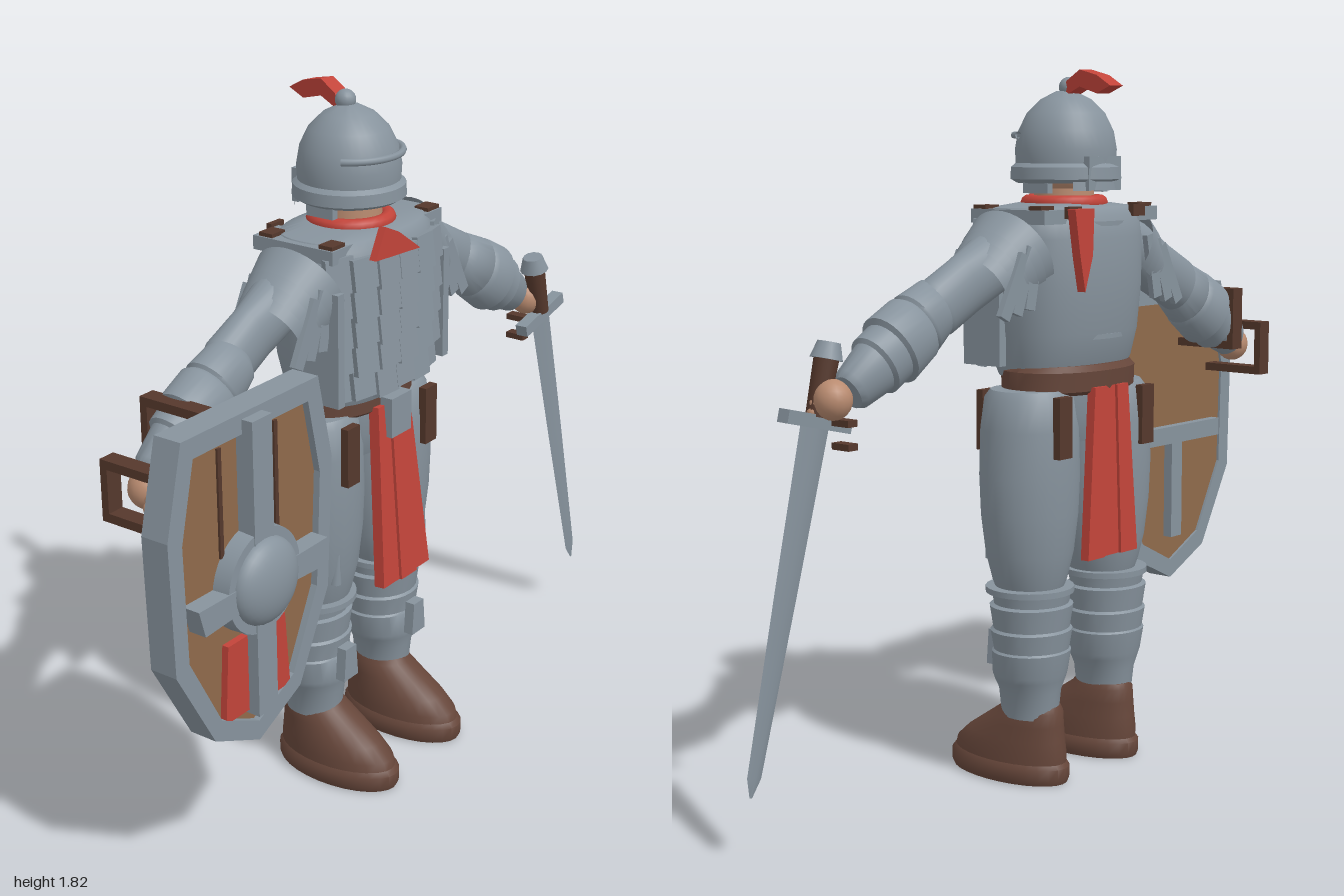
import * as THREE from 'three';
import { toCreasedNormals } from 'three/addons/utils/BufferGeometryUtils.js';

const mat = (name, color) => {
  const m = new THREE.MeshStandardMaterial({ color, side: THREE.DoubleSide });
  m.name = name;
  return m;
};

// Closed skin over superellipse sections [y, rx, rz, cz], stacked along y
function loft(sections, n = 28, power = 2) {
  const pos = [], idx = [];
  const bend = v => Math.sign(v) * Math.abs(v) ** (2 / power);
  for (const [y, rx, rz, cz = 0] of sections)
    for (let i = 0; i < n; i++) {
      const a = i / n * Math.PI * 2;
      pos.push(rx * bend(Math.sin(a)), y, cz + rz * bend(Math.cos(a)));
    }
  const rows = sections.length;
  for (let r = 0; r < rows - 1; r++)
    for (let i = 0; i < n; i++) {
      const j = (i + 1) % n, a = r * n + i, b = r * n + j;
      idx.push(a, b, b + n, a, b + n, a + n);
    }
  const first = sections[0], last = sections[rows - 1];
  pos.push(0, first[0], first[3] || 0, 0, last[0], last[3] || 0);
  for (let i = 0; i < n; i++) {
    const j = (i + 1) % n, top = (rows - 1) * n;
    idx.push(rows * n, j, i, rows * n + 1, top + i, top + j);
  }
  const g = new THREE.BufferGeometry();
  g.setAttribute('position', new THREE.Float32BufferAttribute(pos, 3));
  g.setIndex(idx);
  return toCreasedNormals(g, 0.75);
}

const extrude = (pts, depth, holes = []) => {
  const s = new THREE.Shape(pts.map(p => new THREE.Vector2(...p)));
  for (const h of holes) s.holes.push(new THREE.Path(h.map(p => new THREE.Vector2(...p))));
  return new THREE.ExtrudeGeometry(s, { depth, bevelEnabled: false });
};
const box = (w, h, d) => new THREE.BoxGeometry(w, h, d);

export function createModel() {
  const root = new THREE.Group();
  const steel = mat('steel', 0x87939d), red = mat('red cloth', 0xc2443a), leather = mat('leather', 0x66463a);
  const strap = mat('dark strap', 0x55382c), wood = mat('shield wood', 0x8f6a4b), skin = mat('skin', 0xb98b70);
  const CX = -0.07;
  const add = (name, geo, m, x = 0, y = 0, z = 0, parent = root) => {
    const mesh = new THREE.Mesh(geo, m);
    mesh.name = name;
    mesh.position.set(x, y, z);
    parent.add(mesh);
    return mesh;
  };

  // Head and helmet
  add('neck', new THREE.CylinderGeometry(0.075, 0.08, 0.12, 24), skin, CX, 1.5, -0.03);
  add('head', new THREE.SphereGeometry(0.1, 24, 16), skin, CX, 1.585, -0.03);
  const helmet = new THREE.Group();
  helmet.name = 'helmet';
  helmet.position.set(CX, 0, -0.035);
  root.add(helmet);
  const dome = [[0.125, 1.535], [0.142, 1.545], [0.14, 1.575], [0.128, 1.585], [0.13, 1.62], [0.122, 1.665],
    [0.1, 1.71], [0.065, 1.745], [0.025, 1.765], [0, 1.767]].map(p => new THREE.Vector2(...p));
  add('helmetDome', toCreasedNormals(new THREE.LatheGeometry(dome, 36), 0.6), steel, 0, 0, 0, helmet);
  const brow = add('browBar', new THREE.TorusGeometry(0.13, 0.009, 8, 28, 2.2), steel, 0, 1.655, 0.002, helmet);
  brow.rotation.set(Math.PI / 2, 0, 0.47);
  add('neckGuard', new THREE.CylinderGeometry(0.125, 0.135, 0.085, 20, 1, true, Math.PI - 0.75, 1.5), steel, 0, 1.56, 0, helmet);
  add('neckPlate', box(0.13, 0.085, 0.02), steel, 0, 1.56, -0.118, helmet);
  for (const s of [-1, 1]) add('cheekPlate', box(0.02, 0.05, 0.08), steel, s * 0.112, 1.535, 0, helmet);
  add('crestKnob', new THREE.SphereGeometry(0.026, 16, 12), steel, 0, 1.775, -0.01, helmet);
  const plume = add('plume', extrude([[0, 1.765], [0.015, 1.79], [0.07, 1.817], [0.14, 1.802], [0.195, 1.775],
    [0.14, 1.757], [0.07, 1.775], [0.02, 1.757]], 0.04), red, -0.02, 0, -0.015, helmet);
  plume.rotation.y = 1.32;

  // Cuirass
  const torsoZ = -0.025;
  add('torso', loft([[1.05, 0.19, 0.12], [1.09, 0.2, 0.14], [1.16, 0.215, 0.155], [1.28, 0.225, 0.165],
    [1.4, 0.228, 0.162], [1.455, 0.226, 0.15], [1.475, 0.21, 0.135], [1.485, 0.12, 0.1]], 40, 2.5), steel, CX, 0, torsoZ);
  add('collar', new THREE.TorusGeometry(0.092, 0.02, 10, 28), red, CX, 1.485, -0.03).rotation.x = Math.PI / 2;
  // Overlapping rows of small plates across the chest
  for (let r = 0; r < 5; r++) {
    const y = 1.405 - r * 0.071, half = 0.222 - r * 0.004;
    for (let c = -3; c <= 3; c++) {
      const a = c * 0.32, k = Math.sin(a) / Math.sin(0.96);
      const z = 0.15 - 0.055 * Math.abs(k) ** 3 - (r === 4 ? 0.01 : 0);
      const p = add('chestPlate', box(0.076, 0.078 + 0.012 * ((c + r + 8) % 2), 0.022), steel, CX + k * half * 0.9, y, z - 0.014);
      p.rotation.set(-0.12, 0.45 * k * Math.abs(k), 0);
    }
    add('chestRib', new THREE.CylinderGeometry(1, 1, 0.012, 24, 1, false), steel, CX, y + 0.03, torsoZ)
      .scale.set(half * 0.93, 1, 0.158);
  }
  for (const s of [-1, 1]) {
    add('sidePlate', box(0.025, 0.29, 0.12), steel, CX + s * 0.225, 1.225, 0.045);
    add('shoulderYoke', box(0.1, 0.035, 0.24), steel, CX + s * 0.18, 1.455, -0.035);
    for (const z of [0.06, -0.12]) add('shoulderClasp', box(0.05, 0.02, 0.04), strap, CX + s * 0.2, 1.472, z);
    add('backClasp', box(0.05, 0.03, 0.015), strap, CX + s * 0.13, 1.465, -0.165);
  }
  // Scarf ends
  const scarf = add('scarfFront', extrude([[-0.215, 1.44], [-0.175, 1.515], [-0.12, 1.49], [-0.03, 1.428]], 0.02), red, 0, 0, 0.13);
  scarf.name = 'scarfFront';
  add('scarfBack', extrude([[0.02, 1.475], [0.095, 1.475], [0.075, 1.36], [0.055, 1.27], [0.025, 1.36]], 0.025), red, 0, 0, -0.2);

  // Belt, hanging cloths and straps
  add('hips', loft([[0.88, 0.13, 0.09], [0.95, 0.19, 0.115], [1.06, 0.185, 0.115]], 32, 2.3), steel, CX, 0, -0.04);
  add('belt', loft([[1.005, 0.19, 0.122], [1.015, 0.204, 0.135], [1.065, 0.204, 0.138], [1.08, 0.19, 0.125]], 36, 2.2), leather, CX, 0, -0.045);
  add('buckle', box(0.085, 0.105, 0.035), steel, CX, 0.995, 0.108);
  const cloth = (name, z, tilt, len, depth) => {
    const g = new THREE.Group();
    g.name = name;
    g.position.set(CX, 1.025, z);
    g.rotation.x = tilt;
    root.add(g);
    for (let i = -1; i <= 1; i++)
      add('clothFold', extrude([[(i - 0.5) * 0.045, 0], [(i - 0.5) * 0.068, -len], [(i + 0.5) * 0.068, -len],
        [(i + 0.5) * 0.045, 0]], depth), red, 0, 0, i ? -0.008 : 0, g);
  };
  cloth('frontCloth', 0.08, -0.09, 0.48, 0.03);
  cloth('backCloth', -0.18, 0.015, 0.44, 0.025);
  for (const s of [-1, 1]) for (const z of [0.09, -0.165])
    add('hangingStrap', box(0.05, 0.155, 0.022), strap, CX + s * 0.17, 0.932, z);

  // Legs
  for (const s of [-1, 1]) {
    add('thigh', loft([[0.5, 0.085, 0.085], [0.53, 0.098, 0.095], [0.6, 0.118, 0.11], [0.7, 0.132, 0.12], [0.8, 0.136, 0.124],
      [0.92, 0.128, 0.124], [1.0, 0.115, 0.115], [1.02, 0.1, 0.1]]), steel, CX + s * 0.15, 0, -0.04);
    const fold = add('thighFold', new THREE.ConeGeometry(0.016, 0.11, 8), steel, CX + s * 0.19, 0.63, 0.062);
    fold.rotation.x = 0.12;
    add('kneeBand', new THREE.CylinderGeometry(0.114, 0.114, 0.015, 28), steel, CX + s * 0.155, 0.505, -0.045);
    add('greave', loft([[0.17, 0.066, 0.078, -0.045], [0.24, 0.074, 0.085, -0.045], [0.27, 0.092, 0.092, -0.045], [0.285, 0.098, 0.096, -0.045],
      [0.345, 0.106, 0.1, -0.05], [0.35, 0.1, 0.096, -0.05], [0.4, 0.11, 0.103, -0.05], [0.406, 0.102, 0.097, -0.05],
      [0.465, 0.112, 0.105, -0.05], [0.47, 0.1, 0.095, -0.05], [0.5, 0.105, 0.1, -0.05]]), steel, CX + s * 0.155, 0, 0);
    add('shinPlate', extrude([[-0.03, 0.29], [-0.022, 0.38], [0.022, 0.38], [0.03, 0.29]], 0.028), steel, CX + s * 0.155, 0, 0.05);
    add('boot', loft([[0.045, 0.09, 0.176, 0.03], [0.075, 0.089, 0.172, 0.025], [0.11, 0.084, 0.15, 0.008], [0.15, 0.075, 0.118, -0.02],
      [0.185, 0.068, 0.09, -0.045], [0.2, 0.06, 0.08, -0.047]]), leather, CX + s * 0.148, 0, 0);
    add('sole', loft([[0, 0.092, 0.18, 0.03], [0.012, 0.098, 0.185, 0.03], [0.042, 0.098, 0.185, 0.03], [0.055, 0.088, 0.174, 0.03]]),
      leather, CX + s * 0.148, 0, 0);
  }

  // Arms: each limb runs from a to b in the plane of the shoulders
  const limb = (name, s, a, b, z, rings, m = steel) => {
    const dx = s * (b[0] - a[0]), dy = b[1] - a[1], len = Math.hypot(dx, dy);
    const mesh = add(name, loft(rings.map(([t, rx, rz]) => [t * len, rx, rz])), m, CX + s * a[0], a[1], z);
    mesh.rotation.z = Math.atan2(-dx, dy);
  };
  for (const s of [-1, 1]) {
    limb('upperArm', s, [0.2, 1.39], [0.52, 1.23], -0.035,
      [[0, 0.06, 0.065], [0.2, 0.078, 0.07], [0.6, 0.076, 0.05], [0.9, 0.075, 0.055], [1, 0.06, 0.045]]);
    limb('forearm', s, [0.46, 1.265], [0.775, 1.07], -0.025,
      [[0, 0.05, 0.04], [0.06, 0.072, 0.06], [0.28, 0.085, 0.07], [0.3, 0.078, 0.066], [0.33, 0.088, 0.076], [0.56, 0.094, 0.078],
        [0.58, 0.08, 0.068], [0.72, 0.08, 0.066], [0.74, 0.07, 0.056], [0.96, 0.056, 0.045], [1, 0.045, 0.036]]);
    const hand = add('hand', new THREE.SphereGeometry(0.046, 18, 12), skin, CX + s * 0.805, 1.055, -0.005);
    hand.scale.set(1, 1.05, 1);
    for (let i = 0; i < 4; i++)
      add('finger', new THREE.SphereGeometry(0.017, 10, 8), skin, CX + s * (0.835 - i * 0.006), 1.025 + i * 0.022, 0.028);
    // Layered shoulder guard arching over the arm
    for (let i = 0; i < 4; i++) {
      const shell = add('shoulderBand', new THREE.CylinderGeometry(0.11 - i * 0.005, 0.125 - i * 0.005, 0.07, 24, 1, true, -2.0, 4.0),
        steel, CX + s * (0.235 + i * 0.024), 1.345 - i * 0.017, -0.03);
      shell.rotation.set(0, Math.PI / 2 * s, 0);
      shell.rotation.z = s * -(Math.PI / 2 + 0.65);
      shell.rotation.y = s > 0 ? 0 : Math.PI;
      shell.rotation.z = -(Math.PI / 2 + 0.5) + Math.PI;
      shell.geometry.rotateX(Math.PI);
      shell.geometry.rotateY(-Math.PI / 2);
    }
    // Loose strips hanging in front of and behind the arm
    for (const z of [0.07, -0.13]) for (let i = 0; i < 3; i++) {
      const strip = add('shoulderStrip', box(0.035, 0.17, 0.016), steel, CX + s * (0.245 + i * 0.036), 1.315 - i * 0.012, z);
      strip.rotation.z = s * (0.2 + i * 0.14);
    }
  }

  // Sword
  const sword = new THREE.Group();
  sword.name = 'sword';
  sword.position.set(0.758, 1.005, 0.03);
  sword.rotation.set(-0.025, 0, 0.234);
  root.add(sword);
  add('guard', box(0.205, 0.032, 0.035), steel, 0, 0, 0, sword);
  add('grip', new THREE.CylinderGeometry(0.03, 0.026, 0.14, 14), strap, 0, 0.08, 0, sword);
  add('pommel', new THREE.CylinderGeometry(0.028, 0.04, 0.04, 12), steel, 0, 0.165, 0, sword);
  add('blade', loft([[-0.875, 0.004, 0.002], [-0.83, 0.022, 0.005], [-0.4, 0.036, 0.009], [0, 0.046, 0.011]], 4), steel, 0, 0, 0, sword);
  for (const y of [0.945, 1.0]) add('gripBand', box(0.03, 0.016, 0.055), strap, 0.71, y, -0.015);

  // Shield, drawn about its boss
  const shield = new THREE.Group();
  shield.name = 'shield';
  shield.position.set(-0.705, 0.81, 0);
  root.add(shield);
  const rim = [[-0.24, 0.42], [-0.295, 0.2], [-0.285, -0.136], [-0.16, -0.36], [0, -0.435],
    [0.16, -0.36], [0.275, -0.136], [0.295, 0.2], [0.245, 0.42]];
  const inner = rim.map(([x, y]) => [x * 0.84, y * 0.88]);
  add('shieldRim', extrude(rim, 0.075, [inner]), steel, 0, 0, 0.085, shield);
  add('shieldPanel', extrude(inner, 0.05), wood, 0, 0, 0.092, shield);
  add('uprightBar', box(0.07, 0.75, 0.05), steel, 0, 0.03, 0.165, shield);
  for (const s of [-1, 1]) {
    const arm = [[0, -0.03], [0.215, -0.042], [0.235, 0.028], [0, 0.025]].map(([x, y]) => [s * x, y - 0.01]);
    add('crossBar', extrude(arm, 0.05), steel, 0, 0, 0.14, shield);
    add('redPatch', extrude([[0.03, -0.137], [0.105, -0.137], [0.12, -0.335], [0.03, -0.335]].map(([x, y]) => [s * x, y]), 0.02),
      red, 0, 0, 0.14, shield);
    add('plankGroove', box(0.012, 0.27, 0.008), strap, s * 0.1, 0.22, 0.144, shield);
  }
  add('bossRing', new THREE.CylinderGeometry(0.13, 0.133, 0.045, 32), steel, 0, 0, 0.165, shield).rotation.x = Math.PI / 2;
  const boss = add('boss', new THREE.SphereGeometry(0.108, 28, 12, 0, Math.PI * 2, 0, Math.PI / 2), steel, 0, 0, 0.185, shield);
  boss.rotation.x = Math.PI / 2;
  boss.scale.y = 0.5;
  add('backCrossBar', box(0.42, 0.05, 0.03), steel, 0, -0.01, 0.08, shield);
  add('backUprightBar', box(0.05, 0.3, 0.03), steel, 0, -0.16, 0.08, shield);
  // Arm loop and hand grip behind the shield
  for (const [x, y, h] of [[-0.06, 0.33, 0.15], [-0.2, 0.235, 0.13]]) {
    for (const s of [-1, 1]) add('strapArm', box(0.045, 0.022, 0.18), strap, x, y + s * h / 2, 0.005, shield);
    add('strapBack', box(0.045, h + 0.022, 0.02), strap, x, y, -0.088, shield);
  }
  return root;
}
